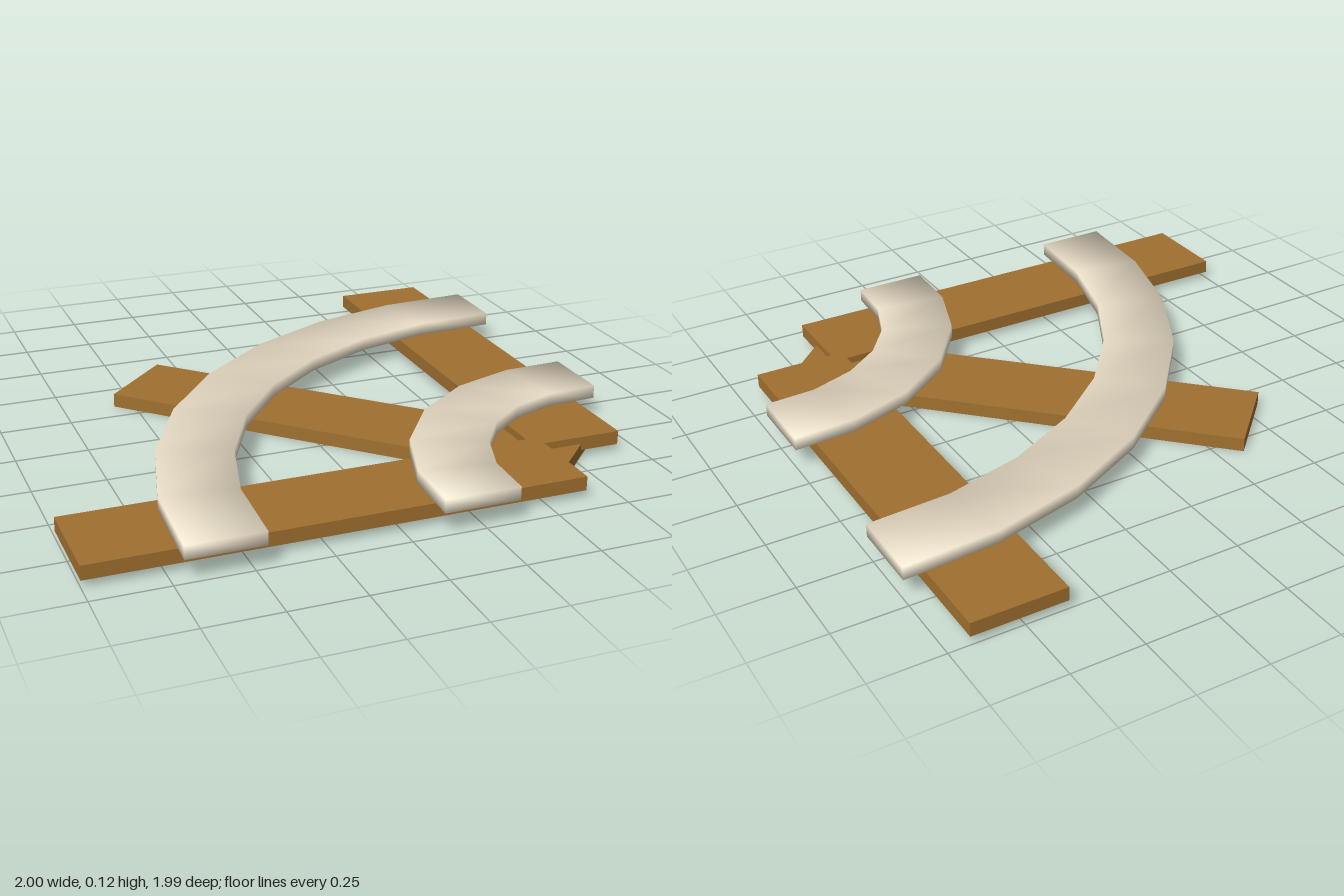
import * as THREE from 'three';

const wood = new THREE.MeshStandardMaterial({ color: 0xa07030 });
const cream = new THREE.MeshStandardMaterial({ color: 0xf0e4cc });

// Corner the rails curve around
const CENTRE_X = 1, CENTRE_Z = 0.995;

function plank(name, length, width, height, x, y, z, turn) {
  const mesh = new THREE.Mesh(new THREE.BoxGeometry(length, height, width), wood);
  mesh.name = name;
  mesh.position.set(x, y, z);
  mesh.rotation.y = turn;
  return mesh;
}

// Quarter-turn bar of rectangular section, softly shaded over all its edges
function rail(name, inner, outer, segments) {
  const bottom = 0.073, top = 0.119;
  const mid = (inner + outer) / 2;
  const corners = [[1, 1], [-1, 1], [-1, -1], [1, -1]]; // side (outer = 1), level (top = 1)
  const positions = [], normals = [], index = [];
  for (let i = 0; i <= segments; i++) {
    const t = (i / segments) * Math.PI / 2;
    const end = i === 0 ? -1 : i === segments ? 1 : 0;
    for (const [side, level] of corners) {
      // The curve bulges slightly beyond a true circle
      const r = (side > 0 ? outer : inner) + 0.033 * Math.sin(2 * t);
      const a = t - side * (0.012 / (mid * mid)) * Math.sin(4 * t);
      const c = Math.cos(a), s = Math.sin(a);
      positions.push(CENTRE_X - r * c, level > 0 ? top : bottom, CENTRE_Z - r * s);
      const n = new THREE.Vector3(-c * side + s * end, level, -s * side - c * end).normalize();
      normals.push(n.x, n.y, n.z);
    }
    if (i === segments) continue;
    for (let k = 0; k < 4; k++) {
      const a = i * 4 + k, b = i * 4 + (k + 1) % 4;
      index.push(a, b, b + 4, a, b + 4, a + 4);
    }
  }
  // End caps
  const e = segments * 4;
  index.push(0, 3, 2, 0, 2, 1, e, e + 1, e + 2, e, e + 2, e + 3);

  const geometry = new THREE.BufferGeometry();
  geometry.setAttribute('position', new THREE.Float32BufferAttribute(positions, 3));
  geometry.setAttribute('normal', new THREE.Float32BufferAttribute(normals, 3));
  geometry.setIndex(index);
  const mesh = new THREE.Mesh(geometry, cream);
  mesh.name = name;
  return mesh;
}

export function createModel() {
  const model = new THREE.Group();
  model.name = 'curvedTrack';
  // Sleepers: two straight ones meeting at the corner, one diagonal underneath
  model.add(
    plank('frontSleeper', 1.643, 0.325, 0.048, -0.179, 0.049, 0.758, 0),
    plank('sideSleeper', 1.64, 0.325, 0.048, 0.763, 0.049, -0.175, Math.PI / 2),
    plank('diagonalSleeper', 1.654, 0.325, 0.048, 0.13, 0.024, 0.13, -Math.PI / 4)
  );
  // Rails
  model.add(
    rail('outerRail', 1.46, 1.715, 8),
    rail('innerRail', 0.636, 0.893, 6)
  );
  return model;
}
